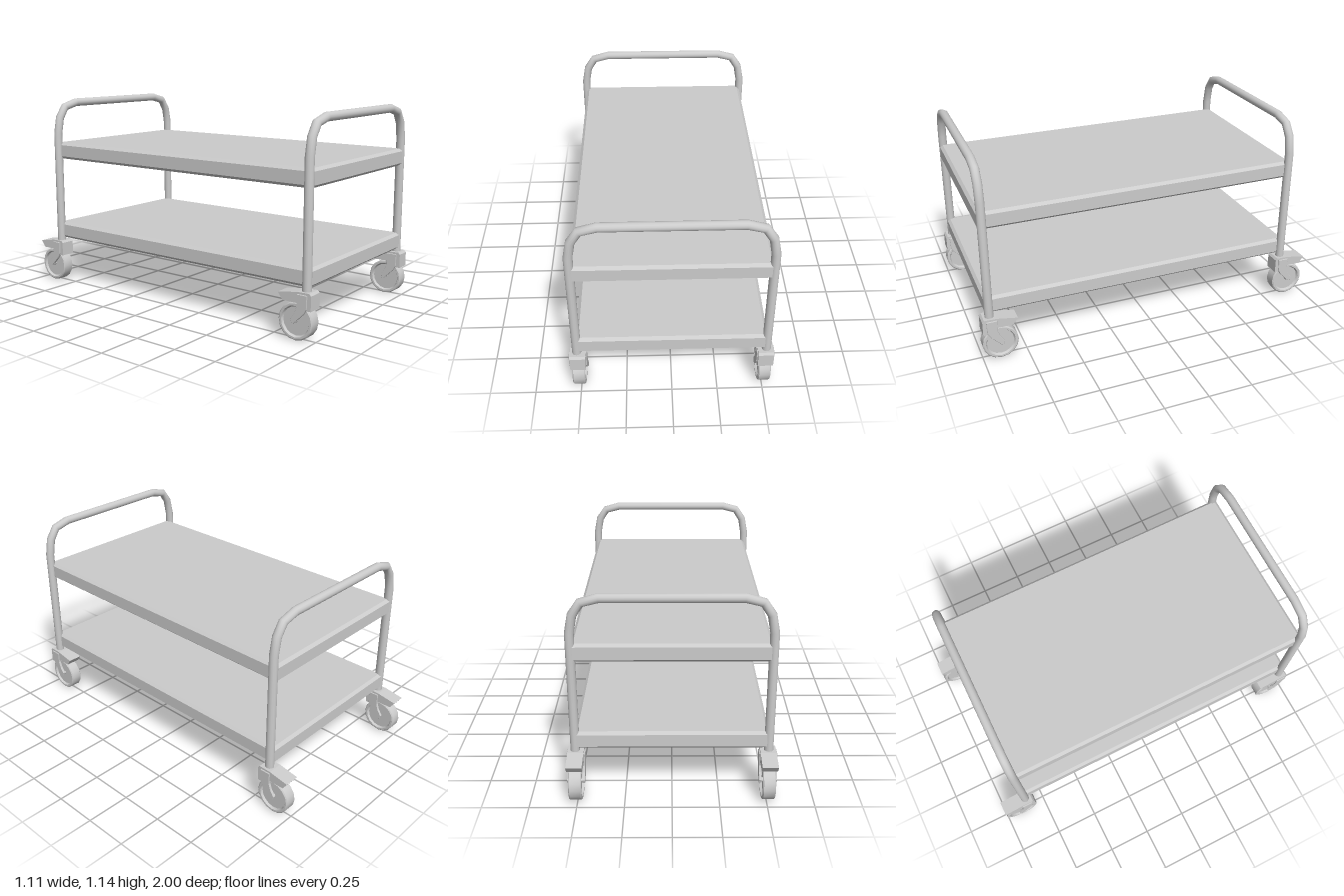
import * as THREE from 'three';
import { toCreasedNormals } from 'three/addons/utils/BufferGeometryUtils.js';

const grey = new THREE.MeshStandardMaterial({ color: 0xcccccc });
const greyDouble = new THREE.MeshStandardMaterial({ color: 0xcccccc, side: THREE.DoubleSide });

const FRONT = 0.949, BACK = -0.851, POST_X = 0.511;

function add(parent, name, geometry, material = grey) {
  const mesh = new THREE.Mesh(geometry, material);
  mesh.name = name;
  parent.add(mesh);
  return mesh;
}

// Curve with mitred corners at every given point
class MitredPath extends THREE.Curve {
  constructor(points) {
    super();
    this.points = points;
  }
  getPointAt(u, target = new THREE.Vector3()) {
    return target.copy(this.points[Math.round(u * (this.points.length - 1))]);
  }
  getPoint(u, target) {
    return this.getPointAt(u, target);
  }
  getTangentAt(u, target = new THREE.Vector3()) {
    const p = this.points, n = p.length - 1, i = Math.round(u * n);
    target.set(0, 0, 0);
    if (i > 0) target.add(p[i].clone().sub(p[i - 1]).normalize());
    if (i < n) target.add(p[i + 1].clone().sub(p[i]).normalize());
    return target.normalize();
  }
}

// Bent tube: two posts joined by a handle
function handleGeometry() {
  const half = [[POST_X, 0.25], [POST_X, 0.932], [0.493, 1.028], [0.45, 1.092], [0.36, 1.116]];
  const points = [
    ...half.map(([x, y]) => new THREE.Vector3(-x, y, 0)),
    ...half.reverse().map(([x, y]) => new THREE.Vector3(x, y, 0)),
  ];
  return new THREE.TubeGeometry(new MitredPath(points), points.length - 1, 0.0245, 14, false);
}

// Thin pressed tray: flat top, chamfered edges and a folded lower lip
function shelfGeometry() {
  const hx = 0.511, hz = 0.921;
  const profile = [[0.016, 0.1], [0, 0.085], [0, 0.016], [0.018, 0]];
  const rings = profile.map(([inset, y]) => {
    const x = hx - inset, z = hz - inset;
    return [[x, y, z], [x, y, -z], [-x, y, -z], [-x, y, z]];
  });
  const pos = [];
  const quad = (a, b, c, d) => pos.push(...a, ...b, ...c, ...a, ...c, ...d);
  quad(...rings[0]);
  for (let r = 0; r < rings.length - 1; r++) {
    for (let i = 0; i < 4; i++) {
      const j = (i + 1) % 4;
      quad(rings[r][i], rings[r + 1][i], rings[r + 1][j], rings[r][j]);
    }
  }
  const geometry = new THREE.BufferGeometry();
  geometry.setAttribute('position', new THREE.Float32BufferAttribute(pos, 3));
  geometry.computeVertexNormals();
  return geometry;
}

// Side outline in (z, y), extruded across x and centred
function sidePlate(outline, width, bevel = 0) {
  const shape = new THREE.Shape(outline.map(([z, y]) => new THREE.Vector2(z - FRONT, y)));
  const depth = width - 2 * bevel;
  const geometry = new THREE.ExtrudeGeometry(shape, {
    depth, bevelEnabled: bevel > 0, bevelSize: bevel, bevelThickness: bevel, bevelOffset: -bevel, bevelSegments: 1,
  });
  return geometry.translate(0, 0, -depth / 2).rotateY(-Math.PI / 2);
}

// Tyre with a raised rim and a recessed disc
function wheelGeometry() {
  const half = [[0, 0.022], [0.076, 0.022], [0.083, 0.034], [0.094, 0.034], [0.1, 0.029]];
  const profile = [
    ...half.map(([r, y]) => new THREE.Vector2(r, -y)),
    ...half.reverse().map(([r, y]) => new THREE.Vector2(r, y)),
  ];
  return toCreasedNormals(new THREE.LatheGeometry(profile, 16).rotateZ(Math.PI / 2), 0.5);
}

function createCaster(geo) {
  const caster = new THREE.Group();
  caster.name = 'caster';
  add(caster, 'casterHousing', geo.housing);
  for (const side of [-1, 1]) add(caster, 'forkArm', geo.arm).position.x = side * 0.0405;
  add(caster, 'wheel', geo.wheel).position.set(0, 0.1, 0.9 - FRONT);
  add(caster, 'axle', geo.axle).position.set(0, 0.105, 0.9 - FRONT);
  return caster;
}

export function createModel() {
  const cart = new THREE.Group();
  cart.name = 'shelfTrolley';

  // End frames
  const handle = handleGeometry();
  for (const [name, z] of [['frontHandle', FRONT], ['backHandle', BACK]]) {
    add(cart, name, handle, greyDouble).position.z = z;
  }

  // Shelves
  const shelf = shelfGeometry();
  for (const [name, y] of [['lowerShelf', 0.275], ['upperShelf', 0.776]]) {
    add(cart, name, shelf, greyDouble).position.set(0, y, (FRONT + BACK) / 2);
  }

  // Casters, all with the brake pedal towards the back
  const geo = {
    housing: sidePlate([[0.995, 0.17], [0.995, 0.25], [0.985, 0.262], [0.915, 0.26], [0.801, 0.24],
      [0.828, 0.202], [0.93, 0.202], [0.97, 0.17]], 0.084),
    arm: sidePlate([[0.975, 0.25], [0.972, 0.18], [0.955, 0.15], [0.9, 0.094], [0.886, 0.094], [0.88, 0.115],
      [0.903, 0.15], [0.915, 0.185], [0.915, 0.25]], 0.015, 0.002),
    wheel: wheelGeometry(),
    axle: new THREE.CylinderGeometry(0.012, 0.012, 0.09, 10).rotateZ(Math.PI / 2),
  };
  for (const x of [-0.507, 0.507]) {
    for (const z of [FRONT, BACK]) {
      const caster = createCaster(geo);
      caster.position.set(x, 0, z);
      cart.add(caster);
    }
  }
  return cart;
}
